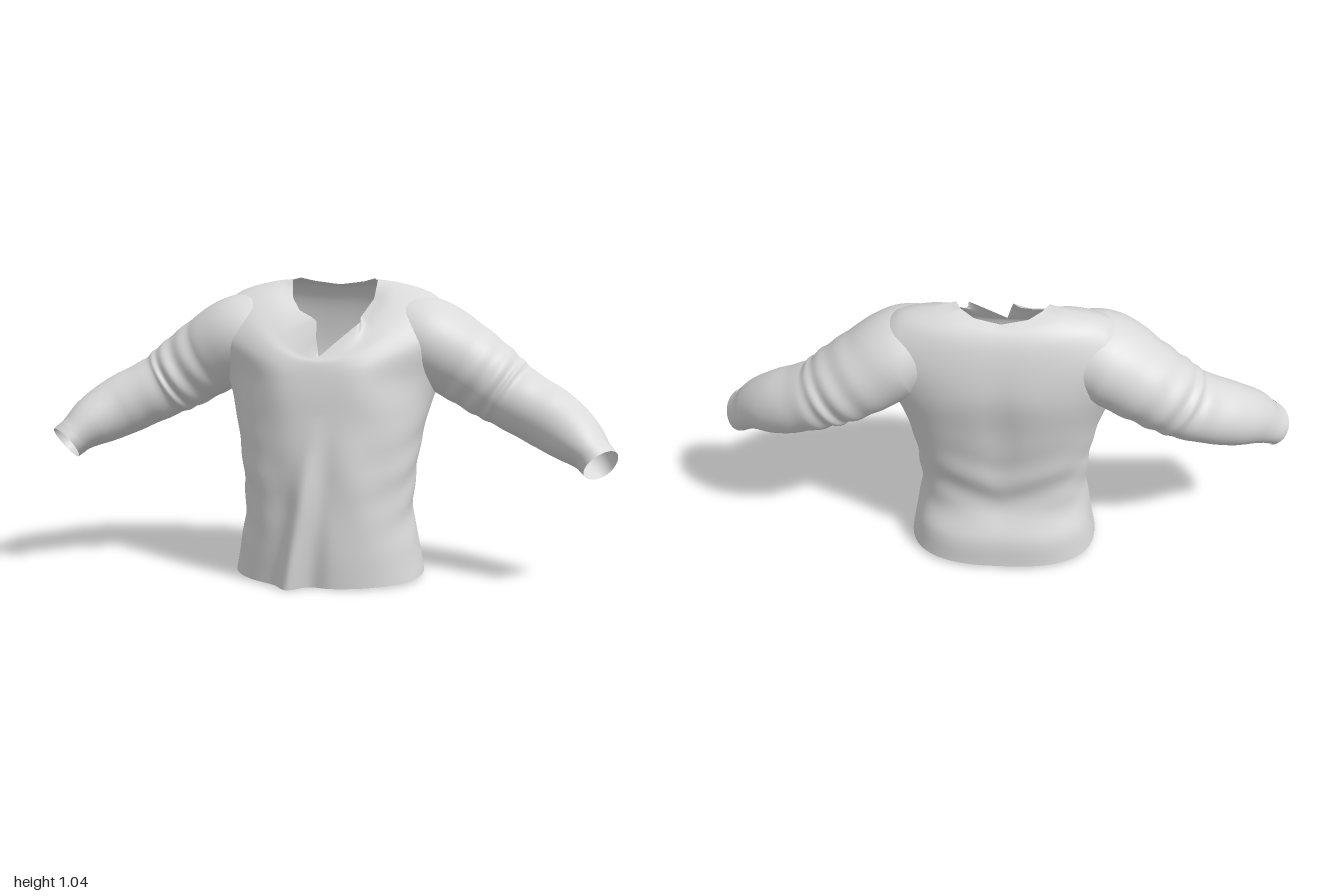
import * as THREE from 'three';

const cloth = new THREE.MeshStandardMaterial({ color: 0xdadada, side: THREE.DoubleSide });
cloth.name = 'pale grey cloth';

// Smooth open tube: rows of points, each row closed around.
function loft(name, rows, around, point) {
  const pos = [], index = [];
  for (let i = 0; i <= rows; i++)
    for (let j = 0; j < around; j++) pos.push(...point(i / rows, (j / around) * Math.PI * 2).toArray());
  for (let i = 0; i < rows; i++)
    for (let j = 0; j < around; j++) {
      const k = (j + 1) % around;
      const a = i * around + j, b = i * around + k, c = a + around, d = b + around;
      index.push(a, c, b, c, d, b);
    }
  const geo = new THREE.BufferGeometry();
  geo.setAttribute('position', new THREE.Float32BufferAttribute(pos, 3));
  geo.setIndex(index);
  geo.computeVertexNormals();
  const mesh = new THREE.Mesh(geo, cloth);
  mesh.name = name;
  return mesh;
}

const bump = (d, w) => Math.exp(-((d / w) ** 2));

// Torso rings: half width, front z, back z, side z, then front, side and back heights
const RINGS = [
  [0.335, 0.228, -0.245, -0.01, 0.005, 0.02, 0.015],
  [0.318, 0.236, -0.24, -0.01, 0.12, 0.12, 0.12],
  [0.297, 0.24, -0.195, 0.0, 0.25, 0.25, 0.24],
  [0.31, 0.24, -0.22, -0.01, 0.42, 0.42, 0.42],
  [0.335, 0.228, -0.252, -0.04, 0.6, 0.6, 0.6],
  [0.338, 0.218, -0.28, -0.08, 0.7, 0.74, 0.76],
  [0.35, 0.208, -0.272, -0.1, 0.76, 0.91, 0.88],
  [0.3, 0.2, -0.25, -0.11, 0.785, 1.003, 0.97],
  [0.215, 0.192, -0.224, -0.12, 0.795, 1.038, 1.012],
];

// Neckline with a slit and folded flap: angle in degrees, x, y, z
const NECK = [
  [0, 0.15, 1.045, -0.1], [20, 0.145, 0.985, -0.04], [40, 0.115, 0.925, 0.04],
  [55, 0.128, 0.915, 0.105], [75, 0.055, 0.85, 0.15], [90, 0, 0.8, 0.185],
  [108, -0.015, 0.86, 0.155], [126, -0.025, 0.915, 0.1], [140, -0.05, 0.925, 0.06], [152, -0.1, 0.945, 0.02],
  [165, -0.135, 0.985, -0.04], [180, -0.15, 1.045, -0.1], [205, -0.132, 1.05, -0.15], [230, -0.088, 1.037, -0.185],
  [270, 0, 1.025, -0.2], [310, 0.088, 1.037, -0.185], [335, 0.132, 1.05, -0.15], [360, 0.15, 1.045, -0.1],
];

function neckPoint(a) {
  const deg = (a * 180) / Math.PI;
  const i = Math.max(1, NECK.findIndex((n) => n[0] >= deg));
  const p = NECK[i - 1], q = NECK[i], t = (deg - p[0]) / (q[0] - p[0]);
  return new THREE.Vector3(...[1, 2, 3].map((k) => p[k] + (q[k] - p[k]) * t));
}

function ringPoint([w, zf, zb, zc, yf, ys, yb], a) {
  const c = Math.cos(a), s = Math.sin(a), front = s > 0, power = front ? 0.93 : 0.75;
  const round = (v) => Math.sign(v) * Math.abs(v) ** power;
  const rise = Math.abs(s) ** (front ? 1.3 : 2);
  const z = zc + Math.abs(round(s)) * ((front ? zf : zb) - zc);
  return new THREE.Vector3(w * round(c), ys + ((front ? yf : yb) - ys) * rise, z);
}

function makeTorso() {
  const columns = new Map();
  return loft('torso', 90, 160, (t, a) => {
    if (!columns.has(a))
      columns.set(a, new THREE.CatmullRomCurve3([...RINGS.map((r) => ringPoint(r, a)), neckPoint(a)]));
    const p = columns.get(a).getPoint(t), { x, y, z } = p, s = Math.sin(a);
    const low = Math.max(0, 1 - y / 0.6);
    if (s > 0) {
      // hanging front folds and chest
      p.z += s * low * (0.058 * bump(x + 0.1 - 0.18 * y, 0.04) - 0.016 * bump(x + 0.02 - 0.1 * y, 0.04));
      p.z += s * 0.014 * (bump(x - 0.15, 0.08) + bump(x + 0.15, 0.08)) * bump(y - 0.7, 0.1);
      p.z += s * 0.003 * bump(y - 0.35, 0.2) * Math.sin(x * 34 + y * 9);
    } else {
      // spine hollow and draped back folds
      p.z += 0.01 * bump(x, 0.06) * bump(y - 0.6, 0.2);
      p.z += s * 0.006 * bump(y - 0.34, 0.14) * Math.sin(Math.abs(x) * 16 - y * 32);
    }
    // armholes flare out into the sleeves
    p.x += Math.sign(x) * Math.min(1, Math.abs(x) / 0.3) ** 3 * 0.1 * bump(Math.hypot(y - 0.85, z + 0.09), 0.17);
    // faint side creases at the waist
    p.x += Math.cos(a) * 0.003 * bump(y - 0.35, 0.2) * Math.sin(y * 44 + s * 5);
    return p;
  });
}

// Sleeve stations: centre x, y, z, radius across the top, radius front to back
const SLEEVE = [
  [0.2, 0.865, -0.1, 0.125, 0.135],
  [0.33, 0.84, -0.09, 0.15, 0.17],
  [0.46, 0.765, -0.105, 0.145, 0.157],
  [0.57, 0.69, -0.1, 0.13, 0.148],
  [0.64, 0.645, -0.09, 0.118, 0.136],
  [0.78, 0.572, -0.04, 0.11, 0.12],
  [0.87, 0.515, 0.02, 0.09, 0.102],
  [0.92, 0.472, 0.055, 0.07, 0.09],
  [0.95, 0.441, 0.08, 0.064, 0.085],
];
const sleevePath = new THREE.CatmullRomCurve3(SLEEVE.map((s) => new THREE.Vector3(s[0], s[1], s[2])));
const sleeveSize = new THREE.CatmullRomCurve3(SLEEVE.map((s) => new THREE.Vector3(s[3], s[4], s[0])));

// Point on a sleeve; side is +1 for left, -1 for right
function sleevePoint(t, a, side, grow = 1) {
  const centre = sleevePath.getPoint(t), d = sleevePath.getTangent(t), size = sleeveSize.getPoint(t);
  const up = new THREE.Vector3(-d.y, d.x, 0).normalize();
  const across = new THREE.Vector3().crossVectors(d, up).normalize();
  const c = Math.cos(a), s = Math.sin(a) * -side;
  // bunched folds above the elbow
  const folds = 0.04 * bump(t - 0.4, 0.13) * Math.sin(t * 75 + s * 1.8) * (0.75 + 0.35 * Math.cos(a * 2 + t * 9));
  const soft = 0.01 * Math.sin(t * 20 + a * 2);
  const k = grow * (1 + folds + soft);
  centre.addScaledVector(up, c * size.x * k).addScaledVector(across, -s * size.y * k);
  centre.x *= side;
  if (side < 0) centre.y += 0.02 * t;
  return centre;
}

export function createModel() {
  const shirt = new THREE.Group();
  shirt.name = 'shirt';
  shirt.add(makeTorso());
  for (const [name, side] of [['left', 1], ['right', -1]]) {
    shirt.add(loft(name + 'Sleeve', 100, 56, (t, a) => sleevePoint(t * 0.94, a, side)));
    // slightly flared, uneven cuff
    shirt.add(loft(name + 'Cuff', 10, 56, (t, a) =>
      sleevePoint(0.92 + 0.08 * t, a, side, 1.02 + 0.03 * t * Math.sin(a * 3 + 1))));
  }
  return shirt;
}
